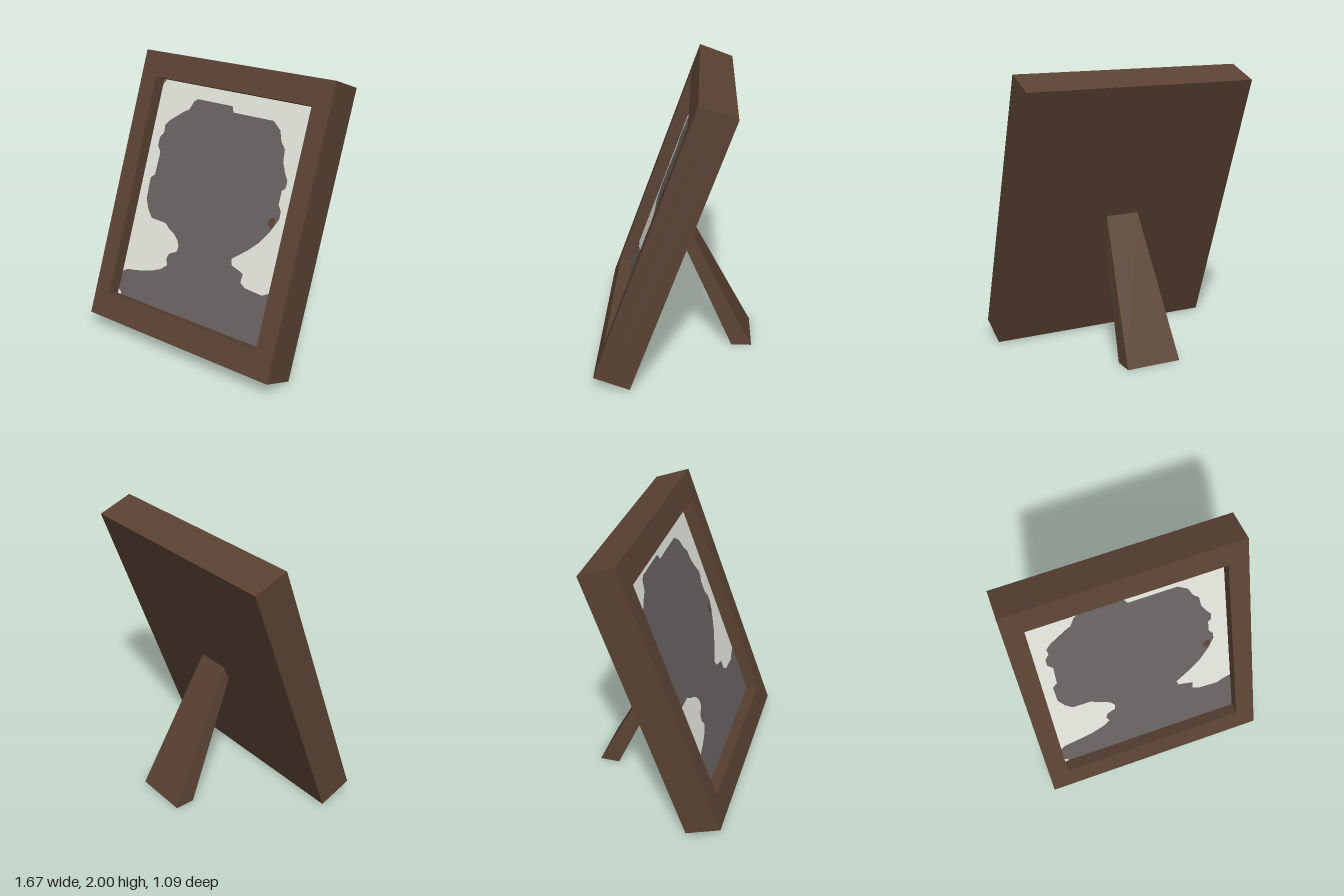
import * as THREE from 'three';

export function createModel() {
  const root = new THREE.Group();
  root.name = 'pictureFrame';
  const mat = (name, color) => {
    const m = new THREE.MeshStandardMaterial({ color });
    m.name = name;
    return m;
  };
  const wood = mat('brown wood', 0x5a4233);
  const paper = mat('pale paper', 0xe0e1d8);
  const ink = mat('warm grey', 0x676060);

  const add = (parent, name, geometry, material, z = 0) => {
    const mesh = new THREE.Mesh(geometry, material);
    mesh.name = name;
    mesh.position.z = z;
    parent.add(mesh);
    return mesh;
  };

  // Leaning frame: local origin at the lower back edge
  const tilt = THREE.MathUtils.degToRad(20);
  const W = 1.666, H = 2.023, THICK = 0.262, DEPTH = 0.096;
  const openX = 0.69, openY0 = 0.188, openY1 = 1.836;
  const back = THICK - DEPTH;
  const lean = new THREE.Group();
  lean.name = 'leaningFrame';
  lean.position.set(0, 0.01, 0.3);
  lean.rotation.x = -tilt;
  root.add(lean);

  const rect = (Type, x0, y0, x1, y1) => new Type([
    new THREE.Vector2(x0, y0), new THREE.Vector2(x1, y0),
    new THREE.Vector2(x1, y1), new THREE.Vector2(x0, y1),
  ]);

  // Raised border around the opening
  const border = rect(THREE.Shape, -W / 2, 0, W / 2, H);
  border.holes.push(rect(THREE.Path, -openX, openY0, openX, openY1));
  add(lean, 'border', new THREE.ExtrudeGeometry(border, { depth: DEPTH, bevelEnabled: false }), wood, back);

  // Solid backing board
  add(lean, 'backBoard', new THREE.BoxGeometry(W, H, back).translate(0, H / 2, back / 2), wood);

  // Picture layers; heights are given upright and mapped onto the leaning plane
  const upright = (pts) => new THREE.ShapeGeometry(new THREE.Shape(pts.map(([x, y]) =>
    new THREE.Vector2(x, (y - 0.067) / Math.cos(tilt)))));
  add(lean, 'pictureSheet', new THREE.ShapeGeometry(rect(THREE.Shape, -openX, openY0, openX, openY1)), paper, back + 0.002);

  const bust = [
    [-0.69, 0.244], [0.69, 0.244], [0.69, 0.605], [0.63, 0.59], [0.58, 0.565], [0.43, 0.575],
    [0.385, 0.6], [0.39, 0.66], [0.28, 0.69], [0.27, 0.73], [0.38, 0.81], [0.46, 0.88],
    [0.53, 0.97], [0.58, 1.06], [0.58, 1.11], [0.55, 1.15], [0.55, 1.24], [0.575, 1.26],
    [0.575, 1.31], [0.54, 1.36], [0.51, 1.42], [0.5, 1.5], [0.46, 1.54], [0.43, 1.61],
    [0.36, 1.66], [0.01, 1.66], [-0.01, 1.7], [-0.33, 1.7], [-0.36, 1.68], [-0.39, 1.62],
    [-0.43, 1.6], [-0.55, 1.52], [-0.585, 1.48], [-0.58, 1.43], [-0.61, 1.39], [-0.61, 1.33],
    [-0.575, 1.29], [-0.58, 1.13], [-0.615, 1.1], [-0.61, 0.95], [-0.57, 0.88], [-0.52, 0.83],
    [-0.38, 0.825], [-0.33, 0.79], [-0.28, 0.77], [-0.24, 0.74], [-0.215, 0.7], [-0.22, 0.66],
    [-0.285, 0.63], [-0.3, 0.59], [-0.28, 0.55], [-0.33, 0.51], [-0.42, 0.475], [-0.53, 0.45],
    [-0.65, 0.43], [-0.69, 0.405],
  ];
  add(lean, 'silhouette', upright(bust), ink, back + 0.004);

  // Small marks on the picture
  add(lean, 'brownSpot', upright([[0.5, 1.01], [0.53, 0.99], [0.55, 1.01], [0.55, 1.06], [0.52, 1.06], [0.5, 1.04]]), wood, back + 0.006);
  add(lean, 'topCornerMark', upright([[-0.69, 1.75], [-0.665, 1.78], [-0.665, 1.793], [-0.69, 1.793]]), ink, back + 0.006);
  add(lean, 'lowerCornerMark', upright([[-0.69, 0.244], [-0.655, 0.244], [-0.665, 0.265], [-0.69, 0.275]]), paper, back + 0.006);

  // Tapered rear leg: side profile extruded, then narrowed towards the top
  const profile = new THREE.Shape([[0.4, 0], [0.545, 0], [0.045, 0.965], [0.008, 0.865]]
    .map(([x, y]) => new THREE.Vector2(x, y)));
  const leg = new THREE.ExtrudeGeometry(profile, { depth: 0.4, bevelEnabled: false });
  leg.translate(0, 0, -0.2).rotateY(Math.PI / 2);
  const p = leg.attributes.position;
  for (let i = 0; i < p.count; i++) p.setX(i, p.getX(i) * (1 - 0.39 * p.getY(i) / 0.965));
  leg.computeVertexNormals();
  add(root, 'rearLeg', leg, wood);

  return root;
}
